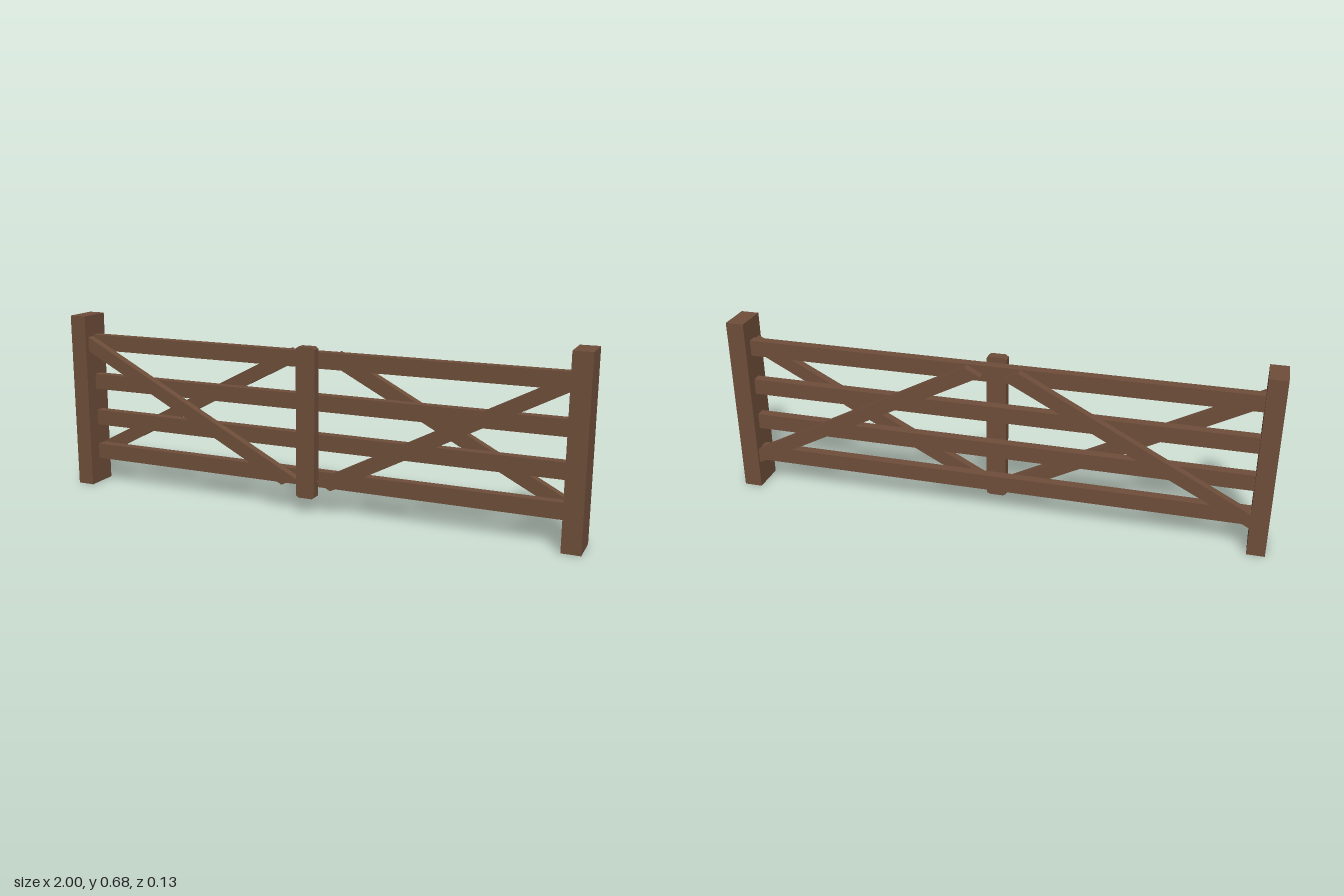
import * as THREE from 'three';

export function createModel() {
  const gate = new THREE.Group();
  gate.name = 'fieldGate';
  const wood = new THREE.MeshStandardMaterial({ color: 0x6f4e3a });
  wood.name = 'brown wood';

  // Board cut to an outline in x and y, spanning z0 to z1
  function board(name, points, z0, z1) {
    const shape = new THREE.Shape(points.map(([x, y]) => new THREE.Vector2(x, y)));
    const geometry = new THREE.ExtrudeGeometry(shape, { depth: z1 - z0, bevelEnabled: false });
    geometry.translate(0, 0, z0);
    const mesh = new THREE.Mesh(geometry, wood);
    mesh.name = name;
    gate.add(mesh);
  }
  const rect = (x0, x1, y0, y1) => [[x0, y0], [x1, y0], [x1, y1], [x0, y1]];

  // End posts
  board('rightPost', rect(-1, -0.935, 0, 0.678), -0.063, 0.063);
  board('leftPost', rect(0.932, 1, 0, 0.678), -0.063, 0.063);

  // Four horizontal rails
  [0.128, 0.267, 0.413, 0.57].forEach((y, i) =>
    board('rail' + (i + 1), rect(-0.935, 0.932, y - 0.03, y + 0.03), -0.025, 0.011));

  // Diagonal braces with bevelled inner ends: falling inwards in front, rising inwards behind
  const brace = [[-0.935, 0.595], [-0.935, 0.54], [-0.1, 0.1], [-0.043, 0.13]];
  const mirrorX = ([x, y]) => [-0.005 - x, y];
  const mirrorY = ([x, y]) => [x, 0.698 - y];
  board('frontBraceRight', brace, 0.014, 0.046);
  board('frontBraceLeft', brace.map(mirrorX), 0.014, 0.046);
  board('backBraceRight', brace.map(mirrorY), -0.057, -0.025);
  board('backBraceLeft', brace.map(mirrorX).map(mirrorY), -0.057, -0.025);

  // Middle upright with clipped corners
  board('middleUpright', [
    [-0.04, 0.067], [-0.03, 0.06], [0.023, 0.06], [0.033, 0.067],
    [0.033, 0.613], [0.023, 0.621], [-0.03, 0.621], [-0.04, 0.613],
  ], 0.011, 0.047);

  return gate;
}
